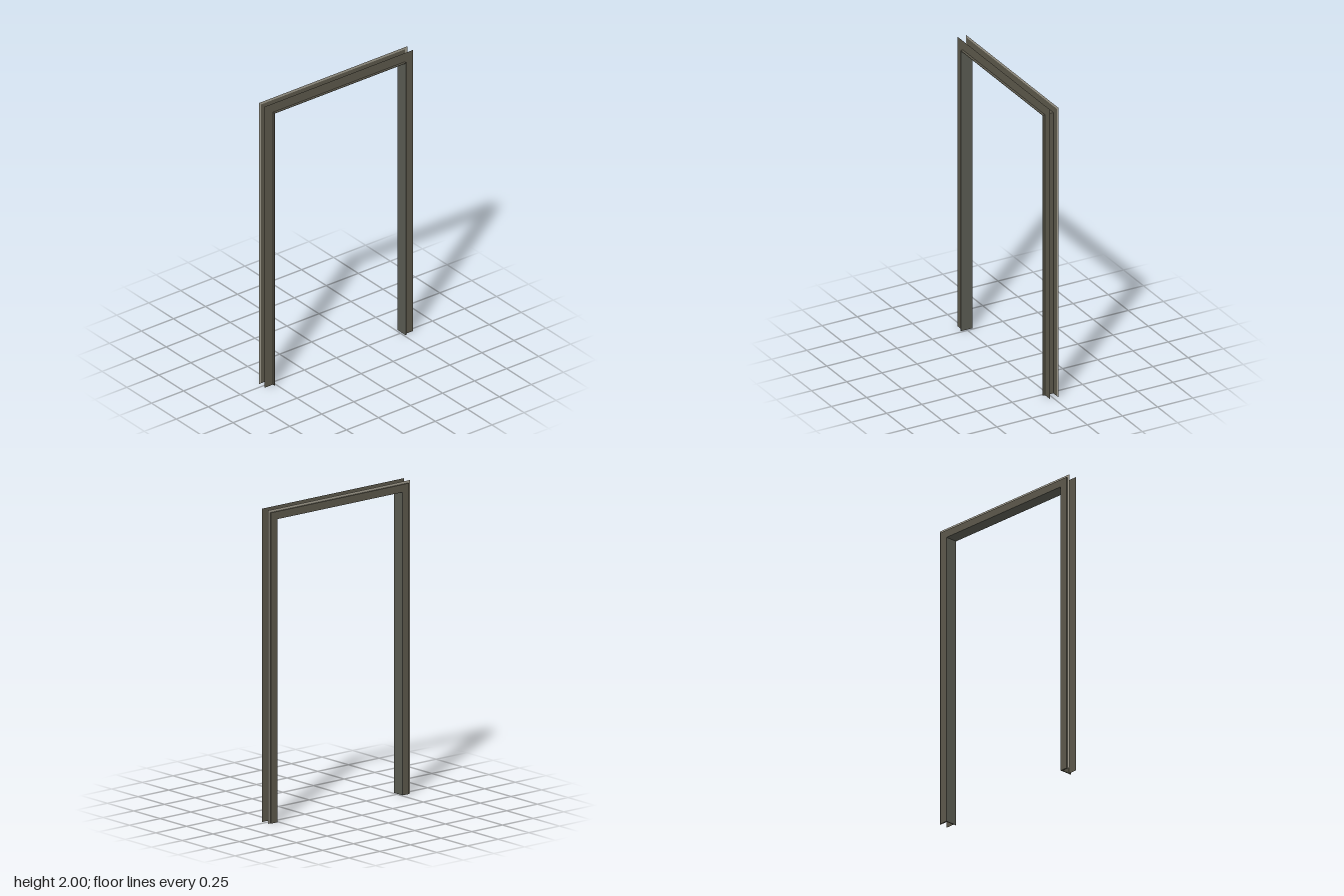
import * as THREE from 'three';

// Doorway outline in the z-y plane: an upright arch with an open foot
function archShape(outerZ, outerY, innerZ, innerY) {
  const s = new THREE.Shape();
  s.moveTo(-outerZ, 0);
  s.lineTo(-innerZ, 0);
  s.lineTo(-innerZ, innerY);
  s.lineTo(innerZ, innerY);
  s.lineTo(innerZ, 0);
  s.lineTo(outerZ, 0);
  s.lineTo(outerZ, outerY);
  s.lineTo(-outerZ, outerY);
  s.closePath();
  return s;
}

function makeMaterial(name, color) {
  const material = new THREE.MeshStandardMaterial({ color, side: THREE.DoubleSide });
  material.name = name;
  return material;
}

export function createModel() {
  const model = new THREE.Group();
  model.name = 'doorFrame';

  const olive = makeMaterial('darkOliveMetal', 0x5c584b);
  const grey = makeMaterial('greyGreenMetal', 0x595a51);
  const pale = makeMaterial('paleStoneMetal', 0xa09b8d);

  // Opening size, the back of the sheet lining it, and the casing's outer edge
  const OPENING = [0.511, 1.935];
  const SHEET_BACK = [0.5125, 1.9365];
  const CASING = [0.563, 1.984];
  const OUTER = [0.58, 2.0];

  // One band of the folded profile from x0 to x1 (a flat sheet when they match)
  function band(name, material, outer, inner, x0, x1) {
    const shape = archShape(...outer, ...inner);
    const geometry = x1 > x0
      ? new THREE.ExtrudeGeometry(shape, { depth: x1 - x0, bevelEnabled: false })
      : new THREE.ShapeGeometry(shape);
    geometry.rotateY(Math.PI / 2);
    geometry.translate(x0, 0, 0);
    const mesh = new THREE.Mesh(geometry, material);
    mesh.name = name;
    model.add(mesh);
  }

  // Thin sheet facing the opening
  band('openingSheet', grey, SHEET_BACK, OPENING, -0.042, 0.041);
  // Thick casing flange with a pale rim around its outer edge
  band('casingFlange', olive, CASING, SHEET_BACK, -0.042, -0.033);
  band('paleRim', pale, OUTER, CASING, -0.033, -0.033);
  // Lining that wraps the opening
  band('jambLining', olive, [0.518, 1.94], SHEET_BACK, -0.033, 0.025);
  // Wide sheet flange on the other side, with a lip standing proud of it
  band('faceFlange', olive, OUTER, SHEET_BACK, 0.025, 0.025);
  band('innerLip', olive, [0.515, 1.938], SHEET_BACK, 0.025, 0.041);

  return model;
}
